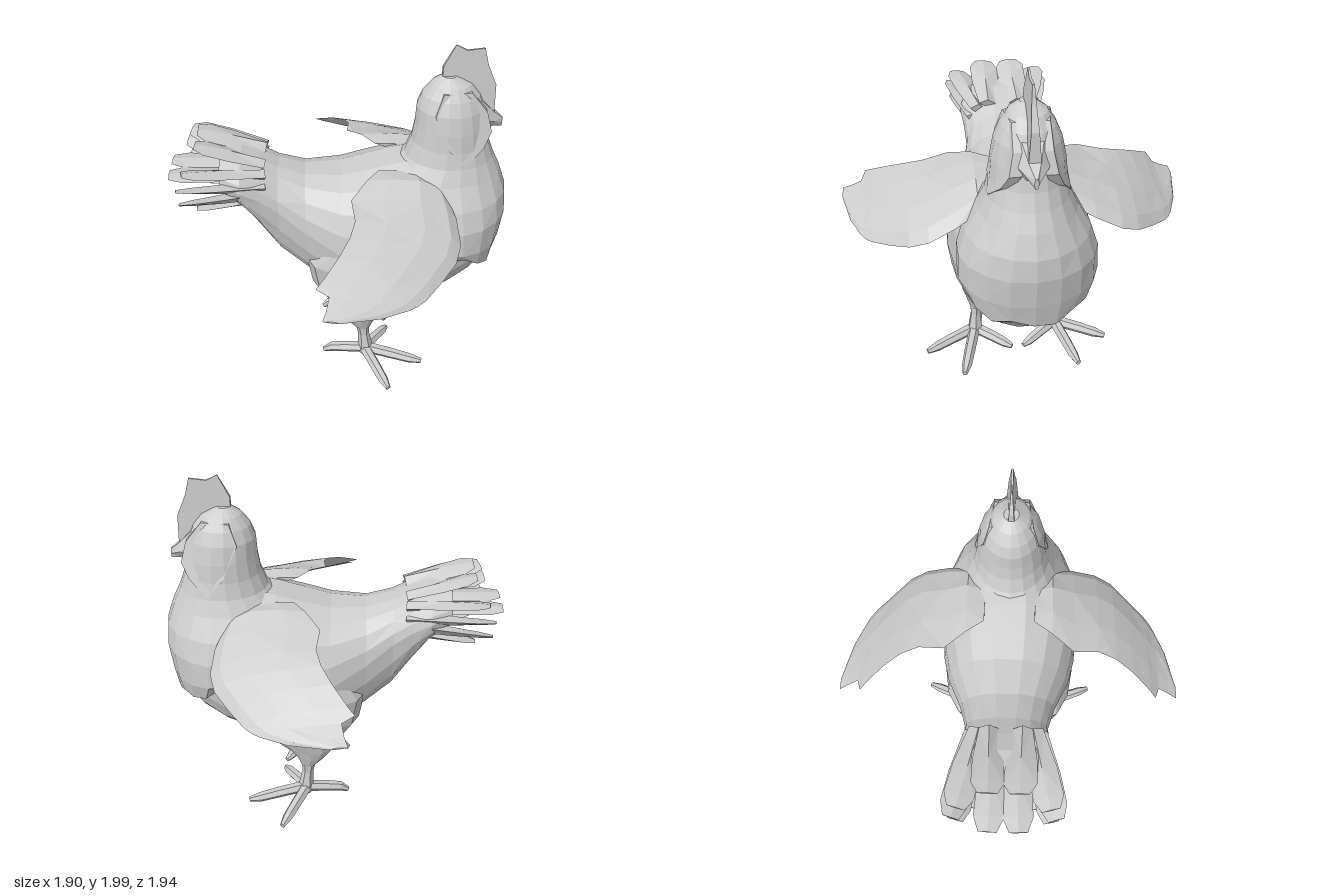
import * as THREE from 'three';

const V = (x, y, z) => new THREE.Vector3(x, y, z);
const plumage = new THREE.MeshStandardMaterial({ color: 0xcccccc, flatShading: true });
plumage.name = 'plainGrey';

// Closed skin over equal-length rings, capped at both ends and always wound outwards
function loft(name, rings) {
  const n = rings[0].length, pts = rings.flat(), idx = [];
  for (let r = 0; r < rings.length - 1; r++) {
    for (let i = 0; i < n; i++) {
      const a = r * n + i, b = r * n + (i + 1) % n, c = a + n, d = b + n;
      if ((r + i) % 2) idx.push(a, b, c, b, d, c);
      else idx.push(a, b, d, a, d, c);
    }
  }
  [0, rings.length - 1].forEach((r, end) => {
    const mid = V(0, 0, 0);
    rings[r].forEach(p => mid.addScaledVector(p, 1 / n));
    const m = pts.push(mid) - 1;
    for (let i = 0; i < n; i++) {
      const a = r * n + i, b = r * n + (i + 1) % n;
      if (end) idx.push(a, b, m); else idx.push(b, a, m);
    }
  });
  let volume = 0;
  for (let i = 0; i < idx.length; i += 3) {
    volume += pts[idx[i]].dot(pts[idx[i + 1]].clone().cross(pts[idx[i + 2]]));
  }
  if (volume < 0) idx.reverse();
  const g = new THREE.BufferGeometry().setFromPoints(pts);
  g.setIndex(idx);
  g.computeVertexNormals();
  const mesh = new THREE.Mesh(g, plumage);
  mesh.name = name;
  return mesh;
}

const around = (n, f) => Array.from({ length: n }, (_, i) => f(i / n * Math.PI * 2, i));

// Tapered limb along a path of [x, y, z, radius]
function limb(name, path, sides = 6) {
  const P = path.map(p => V(p[0], p[1], p[2]));
  return loft(name, path.map((p, i) => {
    const dir = P[Math.min(i + 1, P.length - 1)].clone().sub(P[Math.max(i - 1, 0)]).normalize();
    const u = V(0, 1, 0).cross(dir);
    if (u.length() < 0.3) u.set(0, 0, 1).cross(dir);
    u.normalize();
    const w = dir.clone().cross(u);
    return around(sides, a => P[i].clone().addScaledVector(u, Math.cos(a) * p[3]).addScaledVector(w, Math.sin(a) * p[3]));
  }));
}

// Flat feather from base to tip; roll tips its sides up or down
function feather(name, base, tip, width, roll) {
  const dir = tip.clone().sub(base).normalize();
  const side = V(0, 1, 0).cross(dir).normalize().applyAxisAngle(dir, roll);
  const up = dir.clone().cross(side);
  const stations = [[0, 0.6, 0.03], [0.5, 0.95, 0.025], [0.85, 1, 0.016], [1, 0.6, 0.008]];
  return loft(name, stations.map(([t, w, h]) => {
    const c = base.clone().lerp(tip, t);
    return [[1, 0], [0, 1], [-1, 0], [0, -1]].map(([a, b]) =>
      c.clone().addScaledVector(side, a * w * width / 2).addScaledVector(up, b * h));
  }));
}

export function createModel() {
  const bird = new THREE.Group();
  bird.name = 'hen';

  // Body slices: x, top, bottom, height of widest point, half width
  const slices = [
    [-0.66, 1.41, 1.18, 1.29, 0.21], [-0.55, 1.40, 1.10, 1.26, 0.25], [-0.45, 1.36, 0.92, 1.2, 0.235],
    [-0.35, 1.31, 0.75, 1.12, 0.23], [-0.2, 1.265, 0.62, 1.0, 0.27], [0, 1.27, 0.5, 0.9, 0.355],
    [0.15, 1.31, 0.45, 0.87, 0.39], [0.3, 1.35, 0.44, 0.86, 0.4], [0.45, 1.38, 0.46, 0.86, 0.38],
    [0.6, 1.36, 0.51, 0.87, 0.345], [0.74, 1.3, 0.59, 0.9, 0.275], [0.85, 1.2, 0.69, 0.92, 0.17],
    [0.9, 1.1, 0.76, 0.93, 0.07]];
  bird.add(loft('body', slices.map(([x, top, bot, mid, w]) => around(18, a => {
    const s = Math.sin(a), c = Math.cos(a);
    return V(x, mid + s * (s > 0 ? top - mid : mid - bot), w * Math.sign(c) * Math.abs(c) ** 0.85);
  }))));

  // Breast, neck and head rings: y, back x, front x, half width, lift of the rear edge
  const neck = [
    [0.7, 0.5, 0.865, 0.25, 0.1], [0.73, 0.4, 0.9, 0.33, 0.1], [0.87, 0.3, 0.925, 0.37, 0.03],
    [1.04, 0.26, 0.945, 0.365, 0], [1.16, 0.24, 0.935, 0.325, 0], [1.28, 0.27, 0.89, 0.255, 0],
    [1.37, 0.35, 0.845, 0.215, 0], [1.46, 0.385, 0.81, 0.195, 0], [1.56, 0.4, 0.79, 0.185, 0],
    [1.66, 0.405, 0.77, 0.165, 0], [1.73, 0.43, 0.74, 0.135, 0], [1.79, 0.475, 0.69, 0.095, 0],
    [1.83, 0.53, 0.61, 0.04, 0]];
  bird.add(loft('breastNeckAndHead', neck.map(([y, back, front, w, lift], r) => around(18, (a, i) => {
    const jag = r < 2 ? [0, 0.025, -0.015][i % 3] : 0;
    return V((back + front) / 2 + Math.cos(a) * (front - back) / 2,
      y + lift * (1 - Math.cos(a)) + jag, Math.sin(a) * w);
  }))));

  // Comb: thin plate, narrowing upwards
  const combLine = [[0.53, 1.79], [0.53, 1.88], [0.59, 2.0], [0.65, 1.97], [0.74, 1.98], [0.765, 1.89],
    [0.815, 1.78], [0.82, 1.63], [0.72, 1.68], [0.62, 1.75]];
  bird.add(loft('comb', [-1, 1].map(s => combLine.map(([x, y]) =>
    V(x, y, s * THREE.MathUtils.mapLinear(y, 1.63, 2, 0.03, 0.004))))));

  // Beak: hooked, with a broad base inside the face
  const beak = [[0.66, 1.77, 1.5, 0.13], [0.75, 1.71, 1.5, 0.1], [0.82, 1.63, 1.53, 0.055], [0.875, 1.58, 1.52, 0.012]];
  bird.add(loft('beak', beak.map(([x, top, bot, w]) => around(6, a =>
    V(x, (top + bot) / 2 + Math.sin(a) * (top - bot) / 2, Math.cos(a) * w)))));

  // Tail fan: base y, z; tip x, y, z; width; roll
  const fan = [[1.37, 0.09, -0.79, 1.47, 0.08, 0.17, 0.1], [1.34, 0.15, -0.85, 1.385, 0.24, 0.16, 0.2],
    [1.28, 0.18, -0.885, 1.3, 0.27, 0.15, 0.4], [1.23, 0.17, -0.88, 1.2, 0.25, 0.15, 0.5],
    [1.17, 0.12, -0.8, 1.12, 0.17, 0.15, 0.3], [1.28, 0.05, -0.95, 1.28, 0.08, 0.16, 0]];
  for (const s of [1, -1]) {
    const label = s > 0 ? 'near' : 'far';
    fan.forEach(([by, bz, x, y, z, w, roll], i) => bird.add(
      feather(`${label}TailFeather${i + 1}`, V(-0.42, by - 0.02, bz * s), V(x, y, z * s), w, roll * s)));

    // Cheek flap hanging away from the face
    const flap = [[0.53, 1.77], [0.49, 1.66], [0.54, 1.55], [0.57, 1.48], [0.66, 1.38],
      [0.76, 1.47], [0.8, 1.55], [0.77, 1.66], [0.68, 1.77]];
    const flare = (x, y) => THREE.MathUtils.mapLinear(y, 1.38, 1.77, 0.225, 0.115) - Math.max(0, x - 0.6) * 0.3;
    bird.add(loft(label + 'CheekFlap', [-0.06, 0].map(d => flap.map(([x, y]) => V(x, y, s * (flare(x, y) + d))))));

    // Wing sections: z, trailing x and y, leading x and y, thickness
    const wing = [
      [0.14, 0.2, 1.33, 0.5, 1.25, 0.04], [0.24, 0.13, 1.33, 0.57, 1.22, 0.07], [0.36, 0.045, 1.29, 0.61, 1.16, 0.07],
      [0.5, 0.06, 1.26, 0.62, 1.09, 0.06], [0.6, 0.03, 1.23, 0.585, 1.05, 0.05], [0.7, -0.03, 1.185, 0.5, 1.01, 0.045],
      [0.8, -0.11, 1.125, 0.41, 0.98, 0.035], [0.835, -0.145, 1.1, 0.365, 0.972, 0.03], [0.86, -0.08, 1.07, 0.32, 0.97, 0.025],
      [0.92, -0.095, 1.035, 0.18, 0.975, 0.02], [0.97, -0.115, 1.012, -0.03, 0.995, 0.008]];
    const chord = [[0, 0], [0.3, 0.6], [0.65, 1], [0.9, 0.7], [1, 0], [0.7, -0.3], [0.3, -0.2]];
    bird.add(loft(label + 'Wing', wing.map(([z, xt, yt, xl, yl, h]) => chord.map(([t, b]) =>
      V(xt + (xl - xt) * t, yt + (yl - yt) * t + b * h, s * z)))));

    // Thigh rings: y, x range, z range
    const thigh = [[0.26, 0.085, 0.175, 0.195, 0.275], [0.32, 0.03, 0.2, 0.17, 0.295], [0.38, -0.02, 0.25, 0.14, 0.31],
      [0.46, -0.07, 0.36, 0.08, 0.33], [0.6, -0.17, 0.46, 0.03, 0.365], [0.78, -0.2, 0.45, 0.03, 0.385], [0.95, -0.1, 0.35, 0.05, 0.36]];
    bird.add(loft(label + 'Thigh', thigh.map(([y, x0, x1, z0, z1]) => around(12, a =>
      V((x0 + x1) / 2 + Math.cos(a) * (x1 - x0) / 2, y, s * ((z0 + z1) / 2 + Math.sin(a) * (z1 - z0) / 2))))));

    // Shank and toes
    bird.add(limb(label + 'Shank', [[0.125, 0.3, 0.235 * s, 0.045], [0.135, 0.2, 0.24 * s, 0.033], [0.15, 0.06, 0.25 * s, 0.05]]));
    const toes = { Middle: [0.49, 0.045, 0.34], Outer: [0.27, 0.04, 0.55], Inner: [0.29, 0.04, 0.035], Hind: [-0.11, 0.018, 0.2] };
    for (const [toe, [x, y, z]] of Object.entries(toes)) {
      const at = (t, h, r) => [0.14 + (x - 0.14) * t, h, s * (0.25 + (z - 0.25) * t), r];
      bird.add(limb(label + toe + 'Toe', [at(0, 0.085, 0.035), at(0.5, 0.065, 0.033), at(0.8, 0.05, 0.03), at(1, y, 0.016)]));
    }
  }
  return bird;
}
